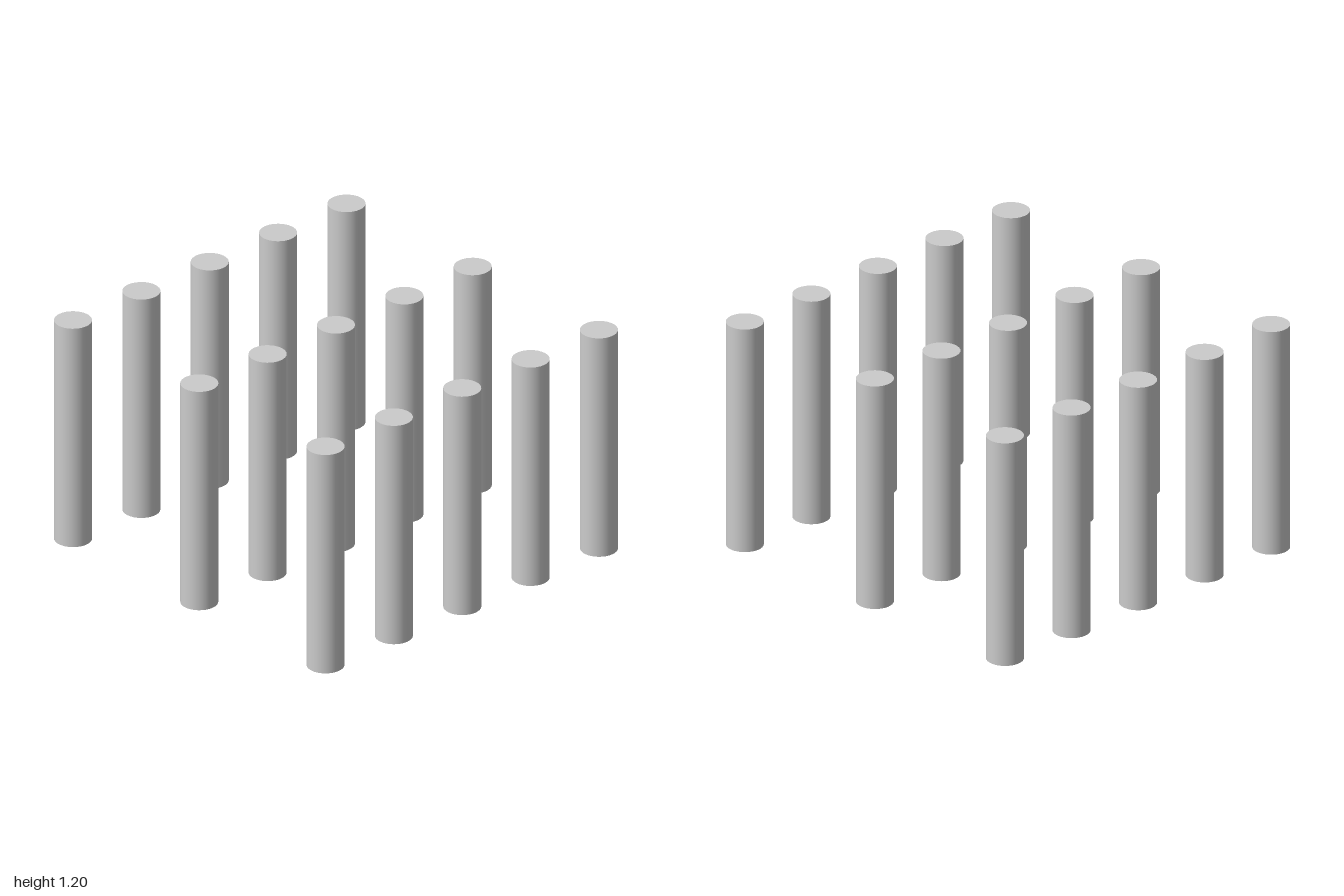
import * as THREE from 'three';

const RADIUS = 0.093;
const HEIGHT = 1.2;
const COLUMNS = 3; // across x
const ROWS = 5; // along z

export function createModel() {
  const group = new THREE.Group();
  group.name = 'pillarGrid';

  const material = new THREE.MeshStandardMaterial({ color: 0xcccccc });
  const geometry = new THREE.CylinderGeometry(RADIUS, RADIUS, HEIGHT, 32);
  geometry.translate(0, HEIGHT / 2, 0); // stand on the ground

  // Spread evenly so the outer pillars touch the 2 x 2 footprint
  const span = 2 - 2 * RADIUS;
  const place = (i, count) => (i / (count - 1) - 0.5) * span;

  // Regular grid of identical round pillars
  for (let row = 0; row < ROWS; row++) {
    for (let col = 0; col < COLUMNS; col++) {
      const pillar = new THREE.Mesh(geometry, material);
      pillar.name = `pillarRow${row + 1}Column${col + 1}`;
      pillar.position.set(place(col, COLUMNS), 0, place(row, ROWS));
      group.add(pillar);
    }
  }
  return group;
}
